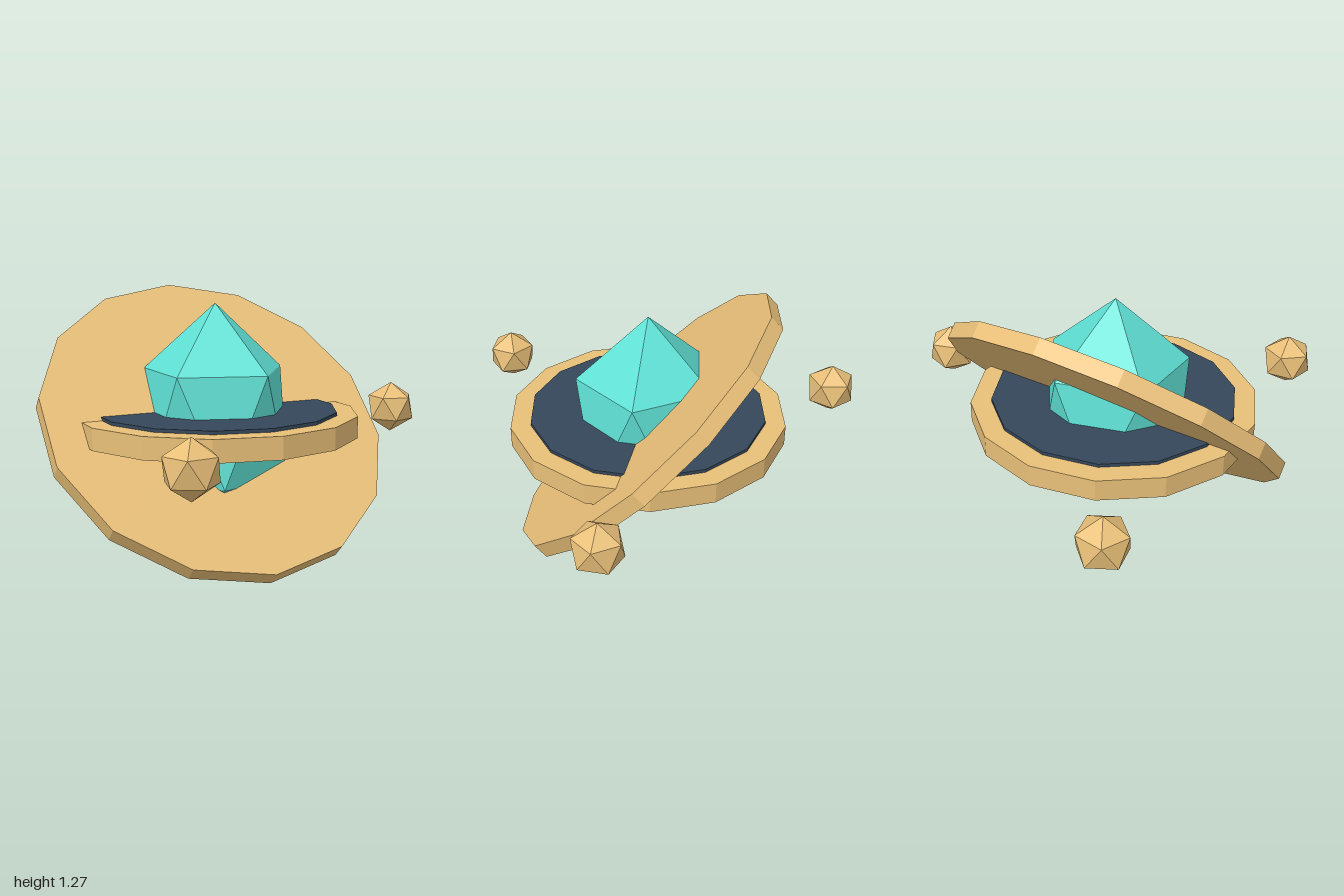
import * as THREE from 'three';

const SIDES = 14;
const material = (color) => new THREE.MeshStandardMaterial({ color, flatShading: true });

function addMesh(parent, name, geometry, mat) {
  const mesh = new THREE.Mesh(geometry, mat);
  mesh.name = name;
  parent.add(mesh);
  return mesh;
}

// Icosahedron standing on a vertex, with an upper-ring corner towards +x
function uprightIcosahedron(radius, stretch = 1) {
  const geometry = new THREE.IcosahedronGeometry(radius, 0);
  geometry.rotateZ(-Math.atan(2 / (1 + Math.sqrt(5))));
  geometry.scale(1, stretch, 1);
  geometry.computeVertexNormals();
  return geometry;
}

const disc = (radius, height) => new THREE.CylinderGeometry(radius, radius, height, SIDES);

export function createModel() {
  const gold = material(0xe8bf78);
  const dark = material(0x35475a);
  const teal = material(0x5fe0d4);

  const model = new THREE.Group();
  model.name = 'crystalOrrery';

  const core = new THREE.Group();
  core.name = 'core';
  core.position.set(-0.152, 0.637, 0);
  model.add(core);

  // Tall central crystal
  addMesh(core, 'crystal', uprightIcosahedron(0.396, 1.455), teal);

  // Level gold rim with a slightly thicker dark plate through it
  addMesh(core, 'levelRim', disc(0.69, 0.104), gold);
  addMesh(core, 'darkPlate', disc(0.59, 0.136), dark);

  // Large tilted disc
  addMesh(core, 'tiltedDisc', disc(0.86, 0.08), gold).rotation.x = Math.PI / 4;

  // Three satellites spaced evenly on a circle
  for (let i = 0; i < 3; i++) {
    const arm = new THREE.Group();
    arm.name = `orbit${i + 1}`;
    arm.rotation.y = (i * Math.PI * 2) / 3;
    core.add(arm);
    addMesh(arm, 'satellite', uprightIcosahedron(0.13), gold).position.x = 1.02;
  }

  return model;
}
